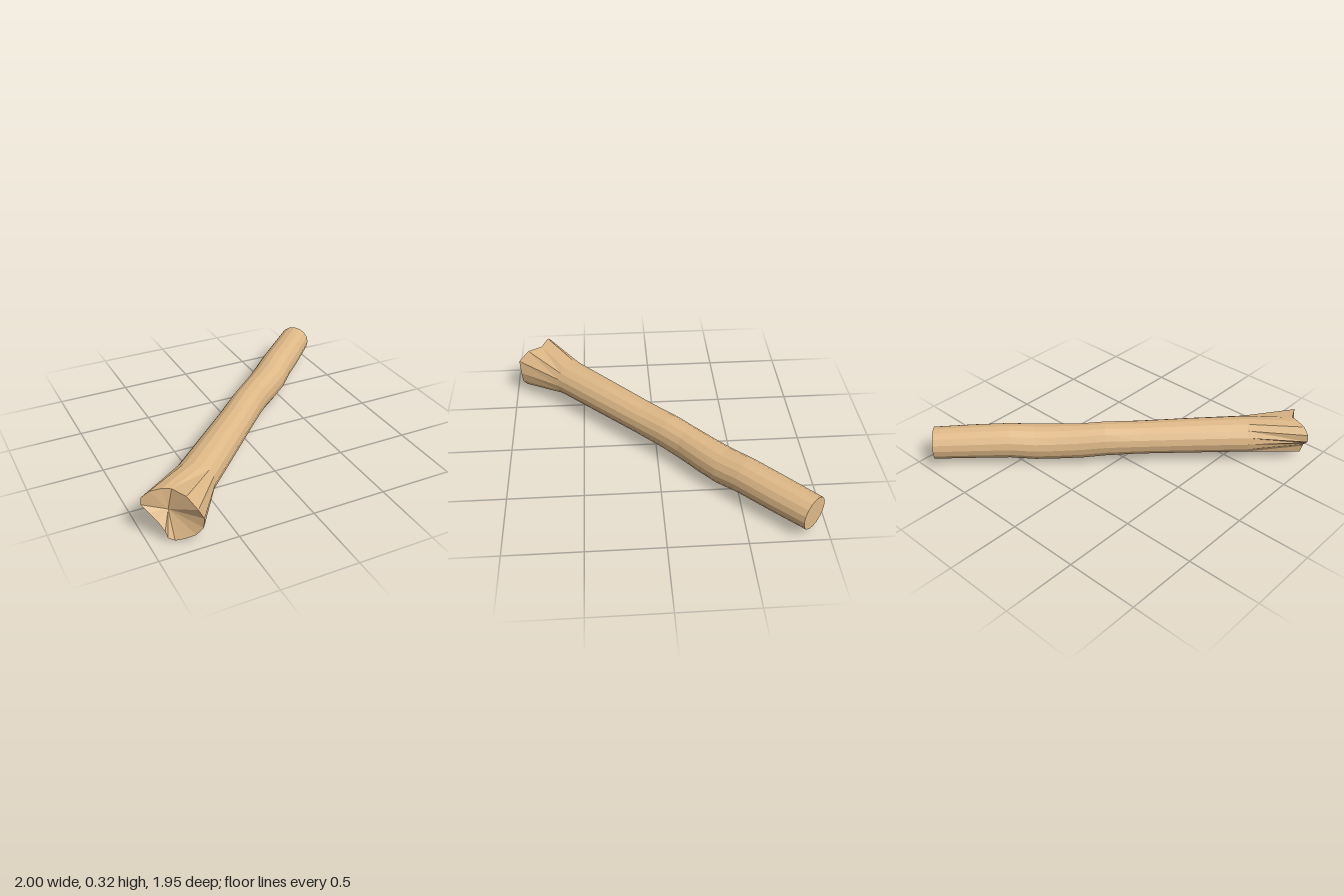
import * as THREE from 'three';

const SIDES = 16;
const H = Math.SQRT1_2;

// s runs along the shaft, u across it (horizontal), y is up
const place = (s, u, y) => [H * (s + u), y, H * (u - s)];

// Shaft stations: s, uMin, uMax, yMin, yMax
const STATIONS = [
  [-0.84, -0.141, 0.127, 0.06, 0.30],
  [-0.45, -0.13, 0.12, 0.058, 0.292],
  [-0.11, -0.122, 0.113, 0.057, 0.282],
  [0.12, -0.12, 0.108, 0.046, 0.285],
  [0.28, -0.117, 0.106, 0.03, 0.275],
  [0.45, -0.114, 0.122, 0.023, 0.268],
  [0.60, -0.113, 0.134, 0.022, 0.266],
  [0.77, -0.107, 0.132, 0.038, 0.276],
  [1.02, -0.104, 0.134, 0.04, 0.269],
  [1.287, -0.099, 0.127, 0.04, 0.26],
];

// Rim of the knobbly end: s, u, y, counter-clockwise from the +u side
const RIM = [
  [-1.174, 0.184, 0.17], [-1.209, 0.163, 0.25], [-1.188, 0.085, 0.31], [-1.153, -0.02, 0.315],
  [-1.174, -0.07, 0.32], [-1.21, -0.134, 0.31], [-1.23, -0.178, 0.27], [-1.232, -0.182, 0.22],
  [-1.237, -0.134, 0.18], [-1.237, -0.08, 0.13], [-1.248, -0.03, 0.08], [-1.237, -0.02, 0.025],
  [-1.216, 0.015, 0.0], [-1.2, 0.07, 0.015], [-1.18, 0.134, 0.045], [-1.17, 0.177, 0.1],
];

function ellipseRing([s, u0, u1, y0, y1]) {
  return Array.from({ length: SIDES }, (_, k) => {
    const a = (k / SIDES) * Math.PI * 2;
    return place(s, (u0 + u1) / 2 + (u1 - u0) / 2 * Math.cos(a), (y0 + y1) / 2 + (y1 - y0) / 2 * Math.sin(a));
  });
}

function meshFrom(name, triangles, material) {
  const geometry = new THREE.BufferGeometry();
  geometry.setAttribute('position', new THREE.Float32BufferAttribute(triangles.flat(2), 3));
  geometry.computeVertexNormals();
  const mesh = new THREE.Mesh(geometry, material);
  mesh.name = name;
  return mesh;
}

// Skin between neighbouring rings
function skin(rings) {
  const triangles = [];
  for (let i = 0; i < rings.length - 1; i++) {
    for (let k = 0; k < SIDES; k++) {
      const n = (k + 1) % SIDES;
      const [a, b, c, d] = [rings[i][k], rings[i][n], rings[i + 1][n], rings[i + 1][k]];
      triangles.push([a, d, b], [b, d, c]);
    }
  }
  return triangles;
}

// Fan from a centre point to a ring
function fan(centre, ring) {
  return ring.map((p, k) => [centre, p, ring[(k + 1) % ring.length]]);
}

export function createModel() {
  const group = new THREE.Group();
  group.name = 'bone';
  const material = new THREE.MeshStandardMaterial({ color: 0xdeb887, flatShading: true });

  const shaftRings = STATIONS.map(ellipseRing);
  const rim = RIM.map((p) => place(...p));

  // Long, slightly uneven shaft
  group.add(meshFrom('shaft', skin(shaftRings), material));

  // Flared three-lobed end with its hollow face
  group.add(meshFrom('flaredEnd', skin([rim, shaftRings[0]]), material));
  group.add(meshFrom('hollowFace', fan(place(-1.17, -0.04, 0.18), rim), material));

  // Flat cut end
  const last = shaftRings[shaftRings.length - 1];
  group.add(meshFrom('cutEnd', fan(place(1.287, 0.014, 0.15), [...last].reverse()), material));

  return group;
}
